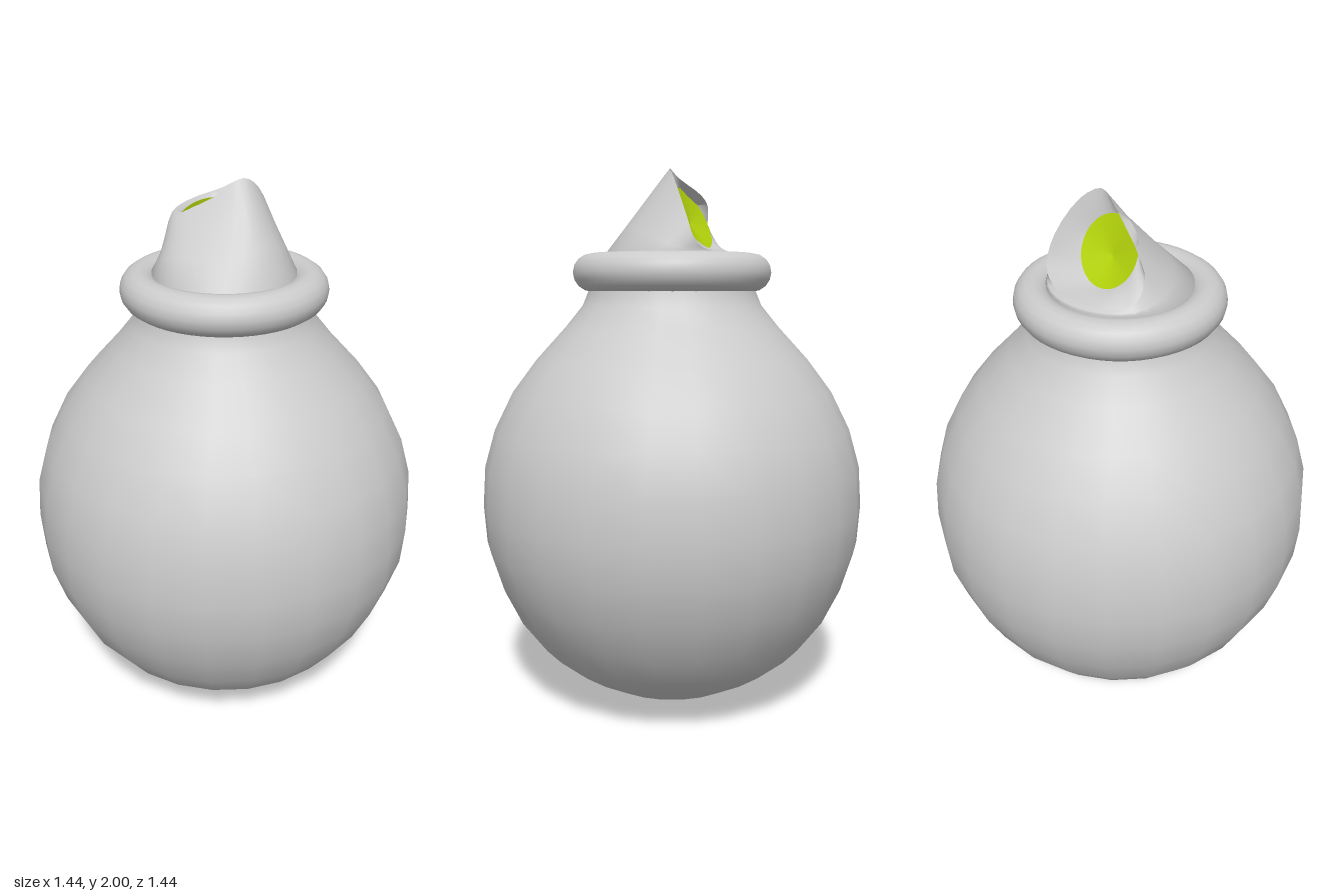
import * as THREE from 'three';

const grey = new THREE.MeshStandardMaterial({ color: 0xcccccc, side: THREE.DoubleSide });
const lime = new THREE.MeshStandardMaterial({ color: 0xb8d80c, side: THREE.DoubleSide });
const SIDES = 36;

// Skin a stack of closed loops (counter-clockwise from above) with smooth normals
function loft(name, loops, material) {
  const positions = loops.flat().flatMap((p) => [p.x, p.y, p.z]);
  const index = [];
  for (let r = 0; r < loops.length - 1; r++) {
    for (let i = 0; i < SIDES; i++) {
      const j = (i + 1) % SIDES;
      const a = r * SIDES + i, b = r * SIDES + j;
      index.push(a, b, b + SIDES, a, b + SIDES, a + SIDES);
    }
  }
  const geometry = new THREE.BufferGeometry();
  geometry.setAttribute('position', new THREE.Float32BufferAttribute(positions, 3));
  geometry.setIndex(index);
  geometry.computeVertexNormals();
  const mesh = new THREE.Mesh(geometry, material);
  mesh.name = name;
  return mesh;
}

// A loop from a function of the angle
const ring = (fn) => Array.from({ length: SIDES }, (_, i) => fn((i / SIDES) * Math.PI * 2));
const mix = (a, b, t) => a.map((p, i) => p.clone().lerp(b[i], t));

// Stopper with an arched crest and a steep cut face; local +z is its round side
function createStopper() {
  const base = ring((t) => new THREE.Vector3(0.26 * Math.cos(t), 1.6, 0.26 * Math.sin(t)));
  const collar = ring((t) => new THREE.Vector3(0.255 * Math.cos(t), 1.69, 0.255 * Math.sin(t)));
  const crest = new THREE.CatmullRomCurve3([
    [0.2, 1.78, -0.07], [0.17, 1.88, -0.08], [0.12, 1.92, -0.07], [0, 1.97, -0.03],
    [-0.07, 2.0, -0.02], [-0.13, 1.96, -0.06], [-0.19, 1.83, -0.13], [-0.19, 1.73, -0.17],
    [-0.1, 1.7, -0.21], [0, 1.7, -0.23], [0.12, 1.7, -0.2], [0.2, 1.71, -0.13],
  ].map((p) => new THREE.Vector3(...p)), true);
  const rim = ring((t) => crest.getPoint(t / (Math.PI * 2)));
  const face = ring((t) => new THREE.Vector3(
    0.03 + 0.13 * Math.cos(t), 1.83 + 0.11 * Math.sin(t), -0.075 + 0.055 * Math.sin(t)));
  const centre = ring(() => new THREE.Vector3(0.03, 1.81, -0.06));

  const stopper = new THREE.Group();
  stopper.name = 'stopper';
  stopper.add(
    loft('stopperSide', [base, collar, mix(collar, rim, 0.35), mix(collar, rim, 0.7), rim], grey),
    loft('stopperCutRim', [rim, mix(rim, face, 0.5), face], grey),
    loft('stopperCutFace', [face, mix(face, centre, 0.5), centre], lime),
  );
  stopper.rotation.y = Math.PI / 4;
  // Local x points to the model's right front: mirror-free quarter turn
  stopper.children.forEach((m) => m.geometry.applyMatrix4(new THREE.Matrix4().makeScale(-1, 1, 1)));
  stopper.children.forEach((m) => {
    const idx = m.geometry.index.array;
    for (let i = 0; i < idx.length; i += 3) [idx[i + 1], idx[i + 2]] = [idx[i + 2], idx[i + 1]];
    m.geometry.computeVertexNormals();
  });
  return stopper;
}

export function createModel() {
  const model = new THREE.Group();
  model.name = 'flask';

  // Round body flowing into a short neck
  const profile = [
    [0, 0], [0.14, 0.02], [0.275, 0.06], [0.4, 0.13], [0.51, 0.22], [0.6, 0.34], [0.665, 0.475],
    [0.71, 0.62], [0.72, 0.76], [0.71, 0.91], [0.67, 1.05], [0.6, 1.19], [0.51, 1.31],
    [0.4, 1.43], [0.335, 1.51], [0.31, 1.57], [0.3, 1.64],
  ].map(([r, y]) => new THREE.Vector2(r, y));
  const body = new THREE.Mesh(new THREE.LatheGeometry(profile, 24), grey);
  body.name = 'body';

  // Rolled lip around the neck
  const lip = new THREE.Mesh(new THREE.TorusGeometry(0.3, 0.07, 16, 48), grey);
  lip.name = 'lip';
  lip.rotation.x = Math.PI / 2;
  lip.position.y = 1.63;

  model.add(body, lip, createStopper());
  return model;
}
